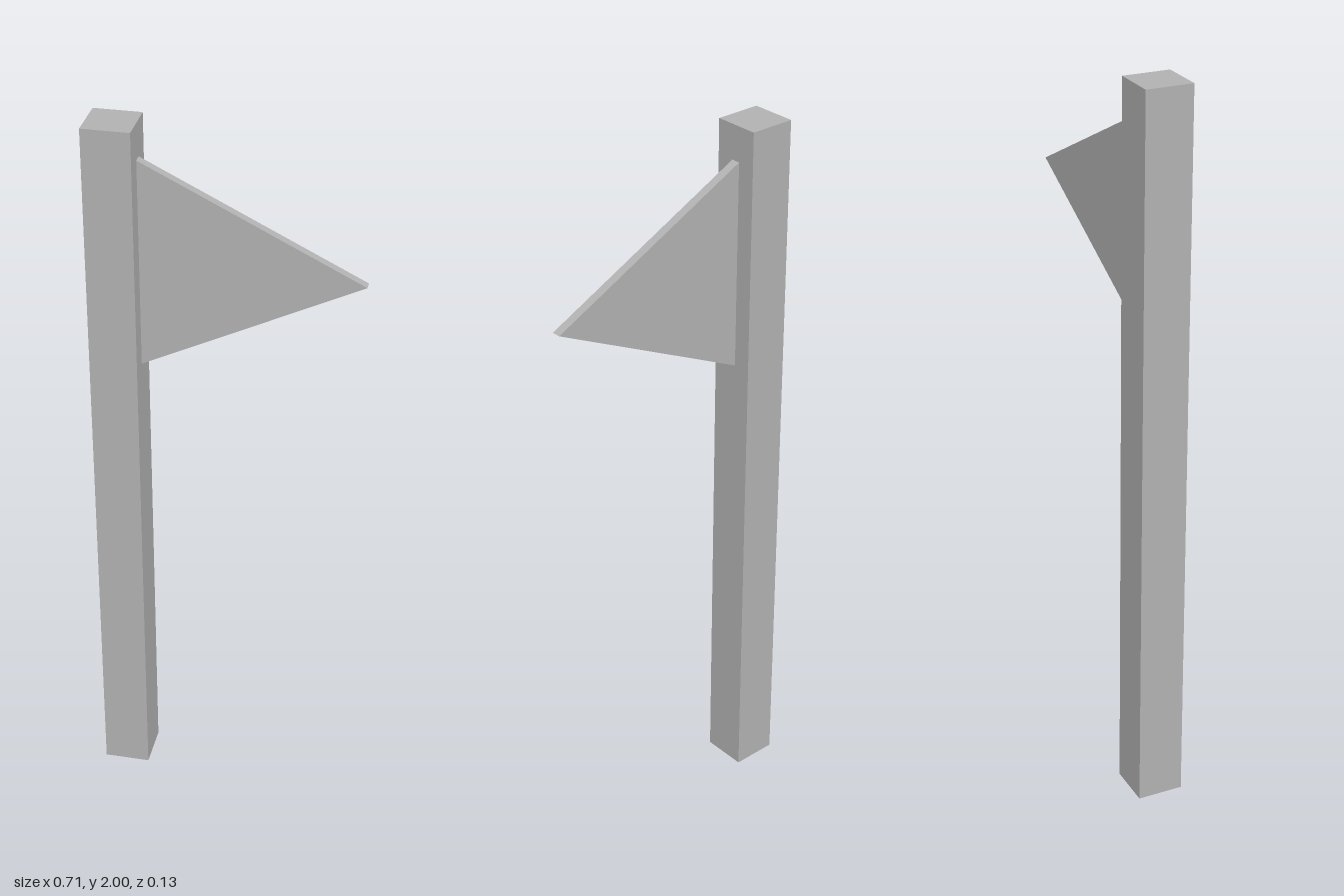
import * as THREE from 'three';

export function createModel() {
  const model = new THREE.Group();
  model.name = 'flagPost';
  const grey = new THREE.MeshStandardMaterial({ color: 0xb2b2b2 });
  grey.name = 'grey';

  // Square post
  const width = 0.127, left = -0.355, right = left + width;
  const post = new THREE.Mesh(new THREE.BoxGeometry(width, 2, width), grey);
  post.name = 'post';
  post.position.set(left + width / 2, 1, 0);
  model.add(post);

  // Triangular pennant on the post's side
  const thickness = 0.025;
  const outline = new THREE.Shape([
    new THREE.Vector2(right, 1.328),
    new THREE.Vector2(0.355, 1.616),
    new THREE.Vector2(right, 1.905),
  ]);
  const pennant = new THREE.Mesh(
    new THREE.ExtrudeGeometry(outline, { depth: thickness, bevelEnabled: false }),
    grey
  );
  pennant.name = 'pennant';
  pennant.position.z = -thickness / 2;
  model.add(pennant);

  return model;
}
